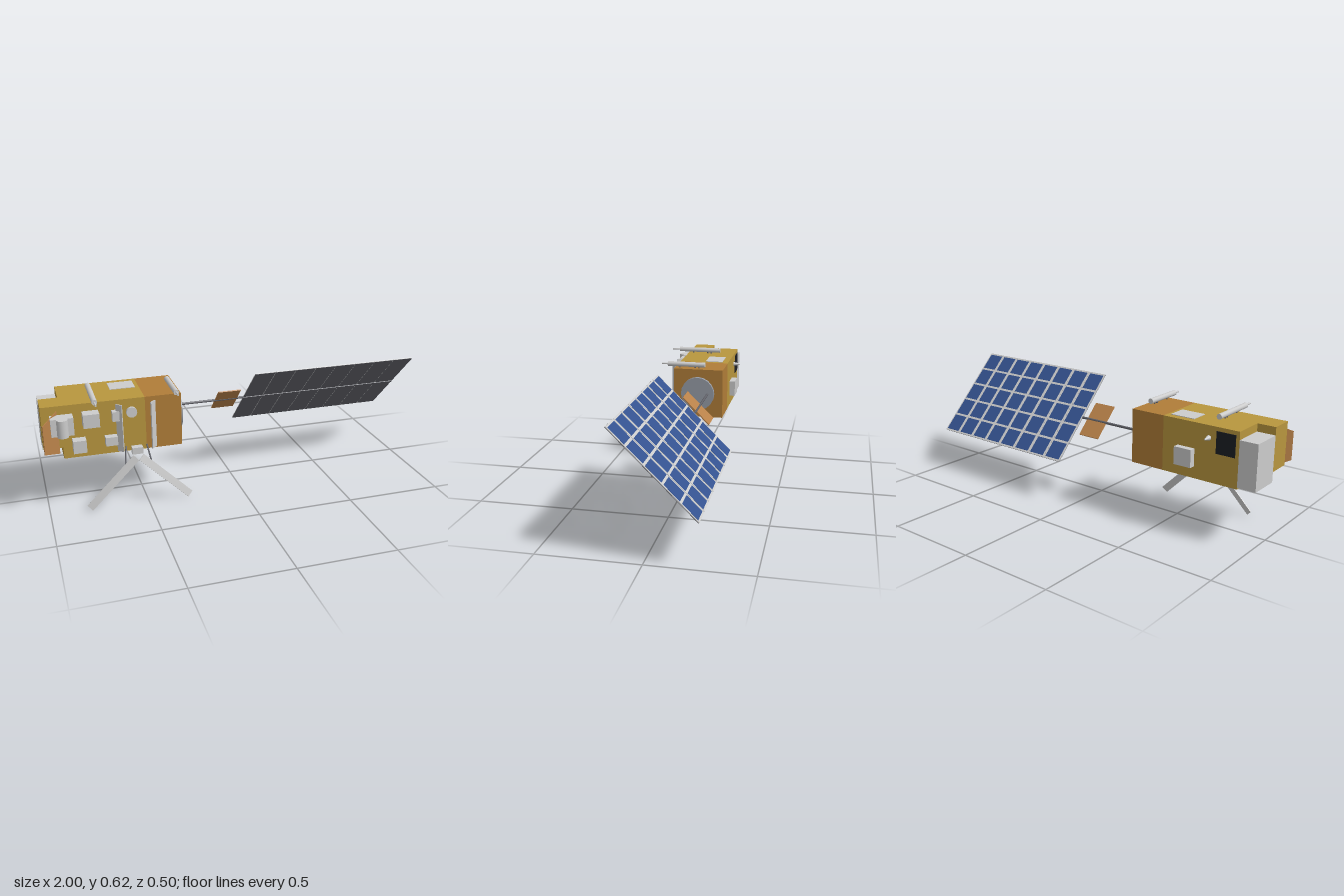
import * as THREE from 'three';

const mat = (color) => new THREE.MeshStandardMaterial({ color });
const grey = mat(0xcccccc), gold = mat(0xb8963e), copper = mat(0xb07d38), foil = mat(0xb9824a);
const dark = mat(0x62636a), black = mat(0x1c1e24), blue = mat(0x34528f), steel = mat(0x969ca6);

export function createModel() {
  const model = new THREE.Group();

  const add = (name, geometry, material, parent = model) => {
    const mesh = new THREE.Mesh(geometry, material);
    mesh.name = name;
    parent.add(mesh);
    return mesh;
  };
  // Box given by its limits on each axis
  const box = (name, material, x0, x1, y0, y1, z0, z1, parent) => {
    const mesh = add(name, new THREE.BoxGeometry(x1 - x0, y1 - y0, z1 - z0), material, parent);
    mesh.position.set((x0 + x1) / 2, (y0 + y1) / 2, (z0 + z1) / 2);
    return mesh;
  };
  // Round bar between two points, r0 at the start and r1 at the end
  const bar = (name, material, a, b, r0, r1 = r0, sides = 16) => {
    const from = new THREE.Vector3(...a), to = new THREE.Vector3(...b);
    const dir = to.clone().sub(from);
    const mesh = add(name, new THREE.CylinderGeometry(r1, r0, dir.length(), sides), material);
    mesh.position.copy(from).add(to).multiplyScalar(0.5);
    mesh.quaternion.setFromUnitVectors(new THREE.Vector3(0, 1, 0), dir.normalize());
    return mesh;
  };

  // Body: service module, payload module and stepped end
  box('serviceModule', copper, -0.49, -0.305, 0.28, 0.56, -0.135, 0.15);
  box('payloadModule', gold, -0.905, -0.49, 0.28, 0.56, -0.135, 0.15);
  box('endStep', gold, -1, -0.905, 0.34, 0.56, 0.03, 0.15);
  box('endBox', grey, -1, -0.905, 0.288, 0.52, -0.135, 0.03);

  // Slanted shade that narrows outwards from the front edge
  const shade = new THREE.Shape([
    new THREE.Vector2(0, 0.31), new THREE.Vector2(0.108, 0.345),
    new THREE.Vector2(0.108, 0.492), new THREE.Vector2(0, 0.535),
  ]);
  const shadeMesh = add('slantedShade',
    new THREE.ExtrudeGeometry(shade, { depth: 0.004, bevelEnabled: false }), foil);
  shadeMesh.position.set(-0.922, 0, 0.15);
  shadeMesh.rotation.y = Math.PI + Math.PI / 4;

  // Instruments on the front
  box('instrumentBase', grey, -0.96, -0.85, 0.425, 0.515, 0.15, 0.21);
  bar('instrumentDrum', grey, [-0.905, 0.425, 0.215], [-0.905, 0.515, 0.215], 0.028, 0.028, 20);
  for (const [x0, x1, y0, y1, z] of [
    [-0.805, -0.725, 0.45, 0.52, 0.208],
    [-0.86, -0.795, 0.32, 0.385, 0.2],
    [-0.7, -0.64, 0.335, 0.38, 0.19],
    [-0.66, -0.615, 0.46, 0.51, 0.185],
    [-0.57, -0.515, 0.27, 0.305, 0.185],
  ]) box('instrumentBox', grey, x0, x1, y0, y1, 0.149, z);
  bar('frontSensor', grey, [-0.56, 0.49, 0.149], [-0.56, 0.49, 0.165], 0.027, 0.027, 20);

  // Upright antenna strips, turned to opposite sides
  for (const [x, turn] of [[-0.626, -1], [-0.456, 1]]) {
    const strip = add('uprightStrip', new THREE.BoxGeometry(0.037, 0.25, 0.006), grey);
    strip.position.set(x, 0.42, 0.18);
    strip.rotation.y = turn * Math.PI / 4;
    for (const y of [0.355, 0.487]) bar('stripBracket', dark, [x, y, 0.148], [x, y, 0.18], 0.004, 0.004, 8);
  }

  // Splayed lower antennas on struts
  for (const side of [-1, 1]) {
    const panel = add('splayedAntenna', new THREE.BoxGeometry(0.35, 0.038, 0.004), grey);
    panel.position.set(-0.543 + side * 0.137, 0.138, 0.207);
    panel.rotation.set(-0.35, 0, -side * Math.PI / 4, 'ZXY');
    bar('antennaStrut', dark, [-0.543 + side * 0.053, 0.305, 0.149],
      [-0.543 + side * 0.07, 0.207, 0.198], 0.004, 0.004, 8);
  }

  // Tubes on the roof with thin front rods and feet
  for (const [x, z0, z1, z2] of [[-0.745, -0.048, 0.207, 0.253], [-0.337, -0.027, 0.19, 0.226]]) {
    bar('roofTube', grey, [x, 0.58, z0], [x, 0.58, z1], 0.014);
    bar('roofTubeRod', grey, [x, 0.58, z1], [x, 0.58, z2], 0.005, 0.005, 10);
    for (const z of [0.008, 0.03, 0.12]) bar('tubeFoot', dark, [x, 0.555, z], [x, 0.572, z], 0.004, 0.004, 8);
  }

  // Radiators above and below
  box('roofRadiator', grey, -0.64, -0.51, 0.559, 0.563, -0.1, 0);
  for (const x of [-0.4, -0.77]) box('lowerRadiator', grey, x - 0.07, x + 0.07, 0.277, 0.281, -0.088, 0.1);

  // Fittings on the back
  box('rearBox', grey, -0.67, -0.575, 0.34, 0.43, -0.168, -0.134);
  box('rearDarkPanel', black, -0.887, -0.786, 0.43, 0.54, -0.138, -0.134);
  bar('rearCone', grey, [-0.745, 0.499, -0.134], [-0.745, 0.499, -0.173], 0.013, 0.003);

  // Side disc and boom
  bar('sideDisc', steel, [-0.306, 0.42, 0.008], [-0.285, 0.42, 0.008], 0.096, 0.096, 20);
  bar('boom', dark, [-0.3, 0.42, -0.05], [0.09, 0.42, -0.05], 0.007, 0.007, 8);

  // Solar wing, tilted 45 degrees with its cells on the upper rear face
  const wing = new THREE.Group();
  wing.name = 'solarWing';
  wing.position.set(0, 0.42, -0.05);
  wing.rotation.x = -Math.PI / 4;
  model.add(wing);
  box('boomPlate', foil, -0.07, 0.055, -0.003, 0.003, -0.101, 0.101, wing);
  box('wingSpar', dark, 0.09, 0.995, -0.007, -0.001, -0.006, 0.006, wing);
  const pitch = 0.91 / 8;
  const cell = new THREE.BoxGeometry(0.094, 0.001, 0.098);
  for (let i = 0; i < 8; i++) {
    const x = 0.09 + i * pitch;
    box('solarPanel', grey, x + 0.002, x + pitch - 0.002, -0.001, 0.003, -0.281, 0.281, wing);
    box('panelBacking', dark, x + 0.002, x + pitch - 0.002, -0.003, -0.001, -0.281, 0.281, wing);
    for (let j = -2; j <= 2; j++)
      add('solarCell', cell, blue, wing).position.set(x + pitch / 2, 0.003, j * 0.111);
  }
  return model;
}
